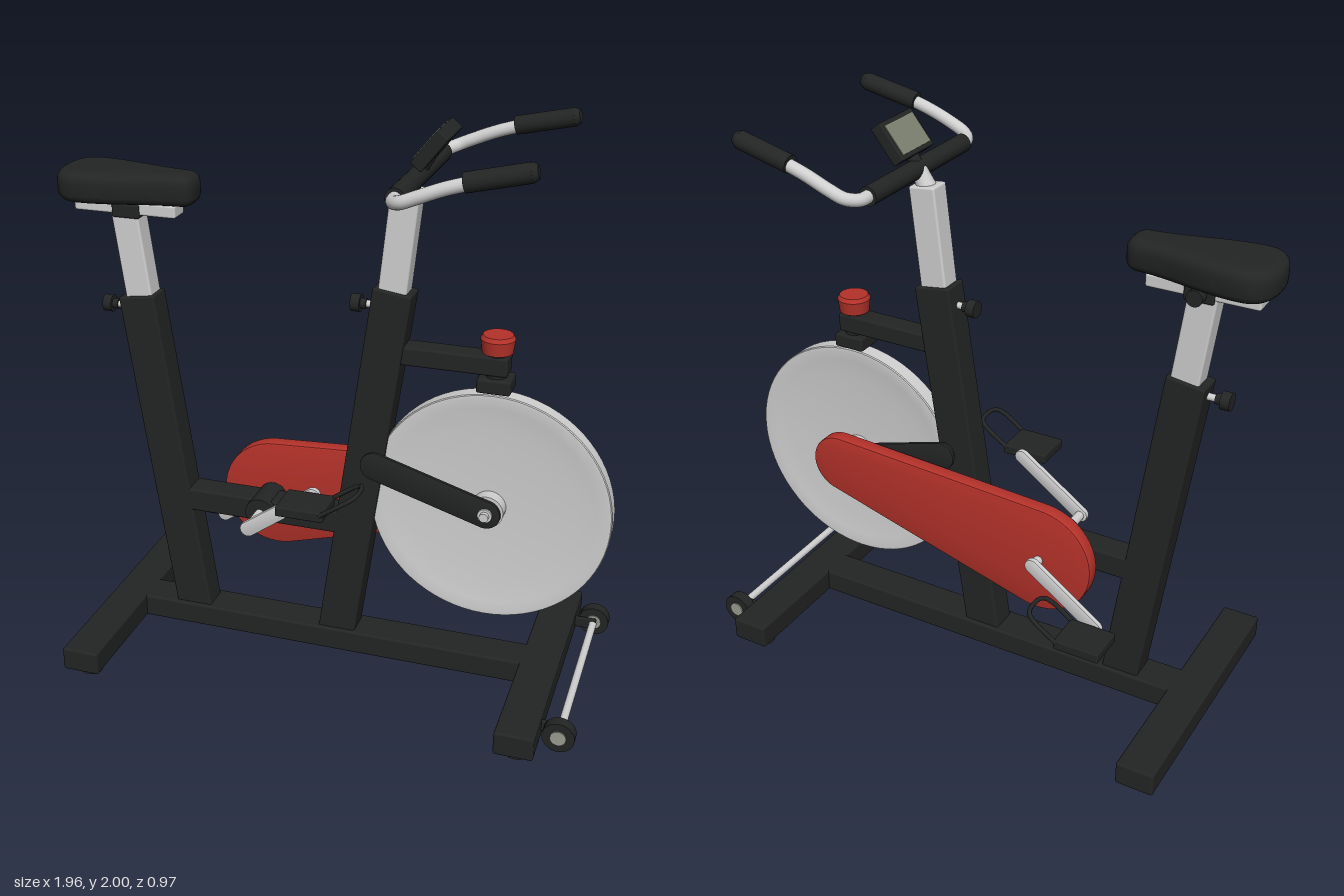
import * as THREE from 'three';
import { toCreasedNormals } from 'three/addons/utils/BufferGeometryUtils.js';
import { RoundedBoxGeometry } from 'three/addons/geometries/RoundedBoxGeometry.js';

const mat = (name, color) => Object.assign(new THREE.MeshStandardMaterial({ color }), { name });
const V = (x, y, z = 0) => new THREE.Vector3(x, y, z);

export function createModel() {
  const black = mat('black', 0x232424);
  const silver = mat('silver', 0xcfcfcf);
  const red = mat('red', 0xb5322a);
  const screenGreen = mat('screen grey green', 0x7d8272);
  const hubGrey = mat('hub grey', 0x9a9c90);

  const bike = new THREE.Group();
  bike.name = 'exerciseBike';

  const add = (name, geo, material, x = 0, y = 0, z = 0, parent = bike) => {
    const m = new THREE.Mesh(geo, material);
    m.name = name;
    m.position.set(x, y, z);
    parent.add(m);
    return m;
  };
  // box given by its size, with slightly softened edges
  const box = (name, material, w, h, d, x, y, z, r = 0.008) =>
    add(name, new RoundedBoxGeometry(w, h, d, 2, r), material, x, y, z);
  // cylinder between two points
  const rod = (name, material, a, b, r, r2 = r) => {
    const m = add(name, new THREE.CylinderGeometry(r2, r, a.distanceTo(b), 28), material);
    m.position.copy(a).add(b).multiplyScalar(0.5);
    m.quaternion.setFromUnitVectors(V(0, 1, 0), b.clone().sub(a).normalize());
    return m;
  };
  // rectangular tube between two points of the x-y plane
  const beam = (name, material, a, b, w, d) => {
    const m = box(name, material, w, a.distanceTo(b), d, (a.x + b.x) / 2, (a.y + b.y) / 2, 0);
    m.rotation.z = Math.atan2(b.y - a.y, b.x - a.x) - Math.PI / 2;
    return m;
  };
  // plate wrapped around two circles, centred on z
  const linkPlate = (name, material, a, ra, b, rb, thick, z, bevel = 0.004) => {
    const dir = Math.atan2(b.y - a.y, b.x - a.x);
    const t = Math.acos((ra - rb) / a.distanceTo(b));
    const s = new THREE.Shape();
    s.absarc(b.x, b.y, rb, dir - t, dir + t, false);
    s.absarc(a.x, a.y, ra, dir + t, dir - t + Math.PI * 2, false);
    s.closePath();
    const depth = thick - 2 * bevel;
    const g = new THREE.ExtrudeGeometry(s, {
      depth, bevelThickness: bevel, bevelSize: bevel, bevelOffset: -bevel, bevelSegments: 2, curveSegments: 28,
    });
    g.translate(0, 0, -depth / 2);
    return add(name, toCreasedNormals(g, 0.6), material, 0, 0, z);
  };

  // base frame
  box('mainBeam', black, 1.5, 0.085, 0.13, -0.02, 0.083, 0);
  for (const [name, x] of [['rearCrossbar', -0.802], ['frontCrossbar', 0.768]]) {
    box(name, black, 0.135, 0.086, 0.97, x, 0.083, 0);
    for (const s of [-1, 1]) {
      rod('footPad', black, V(x, 0, s * 0.4), V(x, 0.02, s * 0.4), 0.038, 0.034);
      rod('footStem', black, V(x, 0.018, s * 0.4), V(x, 0.05, s * 0.4), 0.02);
    }
  }

  // transport wheels
  rod('transportAxle', silver, V(0.9, 0.083, -0.35), V(0.9, 0.083, 0.35), 0.014);
  for (const s of [-1, 1]) {
    box('wheelBracket', black, 0.1, 0.04, 0.014, 0.862, 0.083, s * 0.335, 0.004);
    rod('transportWheel', black, V(0.9, 0.083, s * 0.35), V(0.9, 0.083, s * 0.39), 0.055);
    rod('transportWheelHub', hubGrey, V(0.9, 0.083, s * 0.345), V(0.9, 0.083, s * 0.395), 0.027);
  }

  // posts and connecting tube
  beam('seatTube', black, V(-0.541, 0.1), V(-0.713, 1.327), 0.135, 0.1);
  beam('seatPost', silver, V(-0.69, 1.2), V(-0.745, 1.63), 0.098, 0.08);
  beam('handlebarTube', black, V(0.015, 0.1), V(0.208, 1.445), 0.135, 0.1);
  beam('handlebarPost', silver, V(0.19, 1.3), V(0.244, 1.79), 0.098, 0.08);
  box('middleTube', black, 0.62, 0.085, 0.1, -0.28, 0.562, 0);

  // adjusting knobs
  for (const [x, y, end] of [[-0.837, 1.275, -0.74], [0.075, 1.38, 0.17]]) {
    rod('adjusterStem', silver, V(x, y), V(end, y), 0.012);
    rod('adjusterCollar', black, V(x, y), V(x + 0.035, y), 0.018);
    rod('adjusterKnob', black, V(x - 0.017, y), V(x + 0.015, y), 0.03);
  }

  // saddle
  const o = new THREE.Shape();
  o.moveTo(-0.98, 0);
  o.bezierCurveTo(-0.98, 0.08, -0.95, 0.127, -0.88, 0.127);
  o.bezierCurveTo(-0.76, 0.127, -0.66, 0.075, -0.53, 0.066);
  o.bezierCurveTo(-0.495, 0.062, -0.485, 0.04, -0.485, 0);
  o.bezierCurveTo(-0.485, -0.04, -0.495, -0.062, -0.53, -0.066);
  o.bezierCurveTo(-0.66, -0.075, -0.76, -0.127, -0.88, -0.127);
  o.bezierCurveTo(-0.95, -0.127, -0.98, -0.08, -0.98, 0);
  const saddleGeo = new THREE.ExtrudeGeometry(o, {
    depth: 0.036, bevelThickness: 0.036, bevelSize: 0.034, bevelOffset: -0.034, bevelSegments: 6, curveSegments: 14,
  });
  saddleGeo.rotateX(-Math.PI / 2);
  add('saddle', toCreasedNormals(saddleGeo, 0.8), black, 0, 1.699, 0);
  box('saddleRail', silver, 0.375, 0.045, 0.08, -0.742, 1.64, 0);
  box('saddleClamp', black, 0.1, 0.05, 0.1, -0.735, 1.632, 0);
  rod('saddleClampBolt', silver, V(-0.735, 1.635, 0), V(-0.735, 1.635, -0.06), 0.012);
  rod('saddleClampKnob', black, V(-0.735, 1.635, -0.052), V(-0.735, 1.635, -0.085), 0.027);

  // handlebar
  rod('handlebarStem', silver, V(0.24, 1.77), V(0.275, 1.838), 0.034, 0.026);
  rod('handlebarCrossGrip', black, V(0.28, 1.835, -0.29), V(0.28, 1.835, 0.29), 0.032);
  for (const s of [-1, 1]) {
    const path = new THREE.CatmullRomCurve3([
      V(0.28, 1.835, s * 0.27), V(0.284, 1.835, s * 0.325), V(0.315, 1.845, s * 0.362),
      V(0.37, 1.868, s * 0.371), V(0.45, 1.9, s * 0.371), V(0.54, 1.928, s * 0.369),
    ]);
    add('handlebarBend', new THREE.TubeGeometry(path, 32, 0.022, 16), silver);
    rod('handGrip', black, V(0.51, 1.924, s * 0.369), V(0.705, 1.968, s * 0.36), 0.031);
    rod('handGripEnd', black, V(0.704, 1.968, s * 0.36), V(0.722, 1.972, s * 0.359), 0.031, 0.022);
  }

  // display
  rod('displayStem', black, V(0.265, 1.82), V(0.33, 1.93), 0.022);
  const display = new THREE.Group();
  display.name = 'display';
  display.position.set(0.332, 1.933, 0);
  display.rotation.z = 0.9;
  bike.add(display);
  add('displayCase', new RoundedBoxGeometry(0.14, 0.046, 0.19, 2, 0.006), black, 0, 0, 0, display);
  add('displayScreen', new THREE.BoxGeometry(0.11, 0.006, 0.165), screenGreen, 0, 0.023, 0, display);

  // resistance control
  box('resistanceArm', black, 0.38, 0.066, 0.08, 0.41, 1.223, 0);
  rod('resistanceStem', black, V(0.557, 1.16), V(0.557, 1.28), 0.036);
  rod('resistanceKnob', red, V(0.557, 1.265), V(0.557, 1.312), 0.052, 0.058);
  rod('resistanceKnobTop', red, V(0.557, 1.312), V(0.557, 1.326), 0.058, 0.05);
  box('brakePad', black, 0.115, 0.05, 0.1, 0.557, 1.155, 0);

  // flywheel with dished sides
  const side = [[0.001, 0.012], [0.1, 0.013], [0.2, 0.016], [0.3, 0.021], [0.37, 0.027], [0.405, 0.032], [0.417, 0.031], [0.42, 0.027]];
  const profile = [
    ...side.map(([r, h]) => new THREE.Vector2(r, -h)),
    ...side.slice().reverse().map(([r, h]) => new THREE.Vector2(r, h)),
  ];
  const wheelGeo = new THREE.LatheGeometry(profile, 72);
  wheelGeo.rotateX(Math.PI / 2);
  add('flywheel', toCreasedNormals(wheelGeo, 0.5), silver, 0.557, 0.7, 0);
  const hub = V(0.557, 0.7);
  const at = (p, z) => V(p.x, p.y, z);
  rod('flywheelHub', silver, at(hub, -0.06), at(hub, 0.06), 0.058);
  rod('flywheelAxle', silver, at(hub, -0.105), at(hub, 0.105), 0.016);
  for (const s of [-1, 1]) {
    linkPlate('forkPlate', black, V(0.165, 0.82), 0.052, hub, 0.052, 0.014, s * 0.075);
    rod('forkMount', black, V(0.165, 0.82, s * 0.04), V(0.165, 0.82, s * 0.07), 0.04);
    rod('axleNut', silver, at(hub, s * 0.078), at(hub, s * 0.09), 0.025);
  }

  // drive guard and cranks
  const crank = V(-0.2625, 0.5625);
  linkPlate('driveGuard', red, V(-0.257, 0.563), 0.202, hub, 0.11, 0.054, -0.118, 0.006);
  rod('crankHousing', black, at(crank, -0.072), at(crank, 0.072), 0.055);
  rod('crankAxle', silver, at(crank, -0.19), at(crank, 0.19), 0.017);
  for (const s of [-1, 1]) {
    const pedal = V(crank.x + s * 0.242, crank.y + s * 0.172);
    linkPlate('crankArm', silver, crank, 0.028, pedal, 0.026, 0.02, s * 0.185);
    rod('pedalSpindle', silver, at(pedal, s * 0.18), at(pedal, s * 0.21), 0.012);
    box('pedal', black, 0.168, 0.036, 0.14, pedal.x, pedal.y, s * 0.268, 0.006);
    // toe cage rising ahead of the pedal
    const cage = [[0.07, 0.005, 0.203], [0.15, 0.06, 0.203], [0.178, 0.077, 0.213], [0.19, 0.083, 0.235],
      [0.19, 0.083, 0.301], [0.178, 0.077, 0.323], [0.15, 0.06, 0.333], [0.07, 0.005, 0.333]]
      .map(([x, y, z]) => V(pedal.x + x, pedal.y + y, s * z));
    add('toeCage', new THREE.TubeGeometry(new THREE.CatmullRomCurve3(cage), 48, 0.008, 8), black);
  }

  return bike;
}
